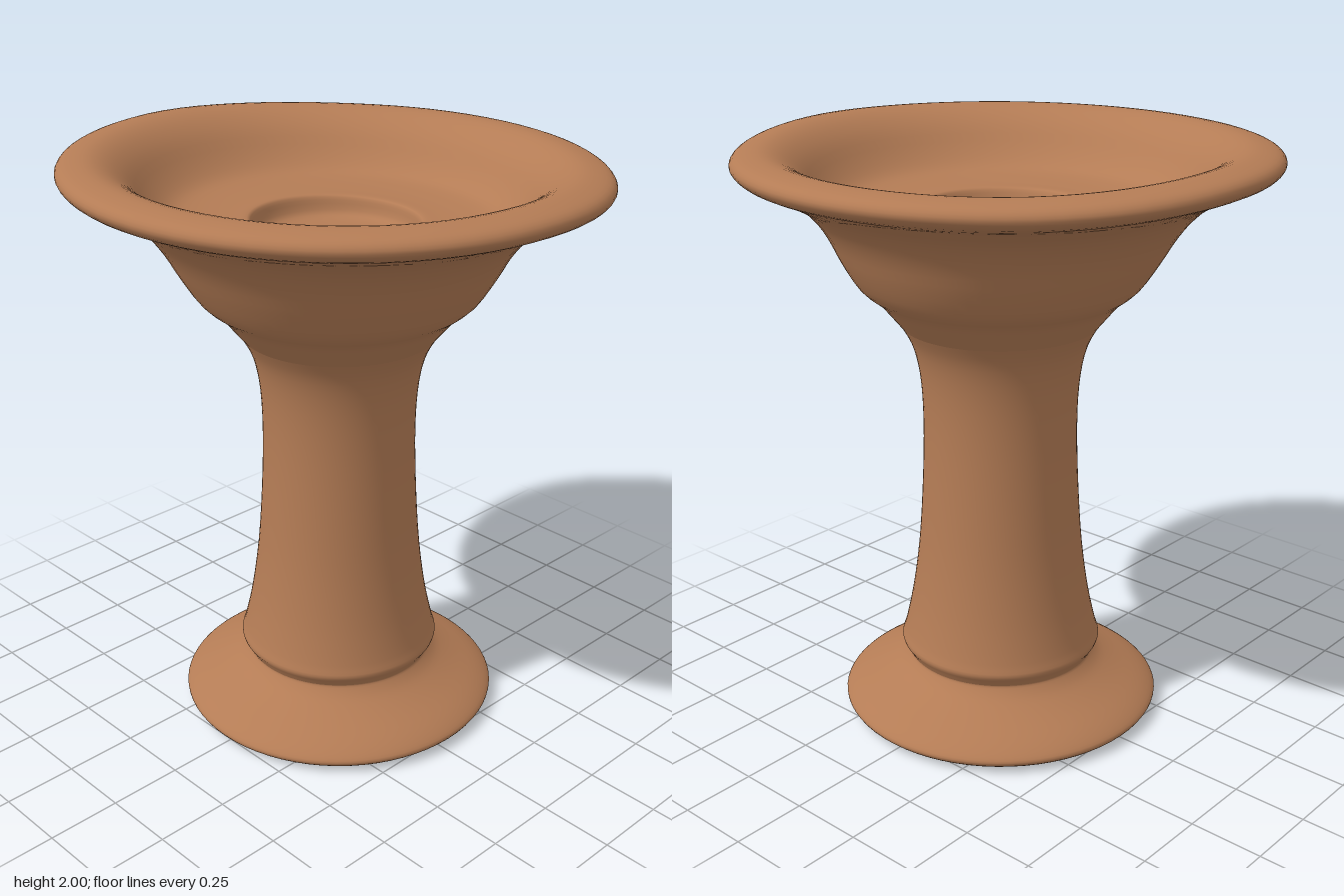
import * as THREE from 'three';
import { mergeVertices } from 'three/addons/utils/BufferGeometryUtils.js';

const SEGMENTS = 72;
const CENTRE_Z = -0.025; // the pedestal axis sits slightly behind the rim's centre

const clay = new THREE.MeshStandardMaterial({ color: 0xb47c55 });

// Profiles run from the underside, up the outside and back in to the axis: [radius, height]
const footProfile = [
  [0.48, 0.005], [0.53, 0.018], [0.555, 0.04], [0.545, 0.06], [0.5, 0.09], [0.42, 0.13],
  [0.36, 0.165], [0.33, 0.195], [0.327, 0.205],
];
const columnProfile = [
  [0.327, 0.205], [0.338, 0.225], [0.35, 0.25], [0.338, 0.29], [0.31, 0.42], [0.285, 0.6],
  [0.27, 0.8], [0.262, 1.0], [0.264, 1.15], [0.276, 1.26], [0.298, 1.34], [0.33, 1.4],
];
const bowlProfile = [
  [0.33, 1.4], [0.375, 1.455], [0.41, 1.495], [0.47, 1.545], [0.53, 1.635], [0.58, 1.72], [0.635, 1.79],
  [0.7, 1.845], [0.8, 1.895], [0.875, 1.925], [0.903, 1.955], [0.89, 1.982], [0.85, 1.996],
  [0.79, 2.0], [0.73, 1.98], [0.67, 1.935], [0.61, 1.865], [0.55, 1.815], [0.48, 1.797],
  [0.36, 1.79], [0.3, 1.79], [0.28, 1.782], [0.268, 1.75], [0.25, 1.725], [0.2, 1.712], [0.1, 1.708],
];

// Towards the rim the circle becomes an oval, recentres and droops at the back
function warp(position) {
  for (let i = 0; i < position.count; i++) {
    const y = position.getY(i);
    const t = THREE.MathUtils.smoothstep(y, 1.5, 1.95);
    const z = position.getZ(i) * (1 - 0.05 * t) + CENTRE_Z * (1 - t);
    const droop = 0.025 * t * THREE.MathUtils.smoothstep(-z, -0.1, 0.7);
    position.setXYZ(i, position.getX(i), y - droop, z);
  }
}

function turnedPart(name, profile, { startOnAxis = false, endOnAxis = false } = {}) {
  const knots = profile.map(([r, y]) => new THREE.Vector2(r, y));
  const points = new THREE.SplineCurve(knots).getPoints((knots.length - 1) * 3);
  if (startOnAxis) points.unshift(new THREE.Vector2(0, points[0].y));
  if (endOnAxis) points.push(new THREE.Vector2(0, points[points.length - 1].y));
  let geometry = new THREE.LatheGeometry(points, SEGMENTS);
  warp(geometry.attributes.position);
  // Weld the lathe seam so the normals stay smooth all round
  geometry.deleteAttribute('uv');
  geometry.deleteAttribute('normal');
  geometry = mergeVertices(geometry, 1e-5);
  geometry.computeVertexNormals();
  const mesh = new THREE.Mesh(geometry, clay);
  mesh.name = name;
  return mesh;
}

export function createModel() {
  const group = new THREE.Group();
  group.name = 'pedestalBowl';
  group.add(
    turnedPart('foot', footProfile, { startOnAxis: true }),
    turnedPart('column', columnProfile),
    turnedPart('bowl', bowlProfile, { endOnAxis: true }),
  );
  return group;
}
